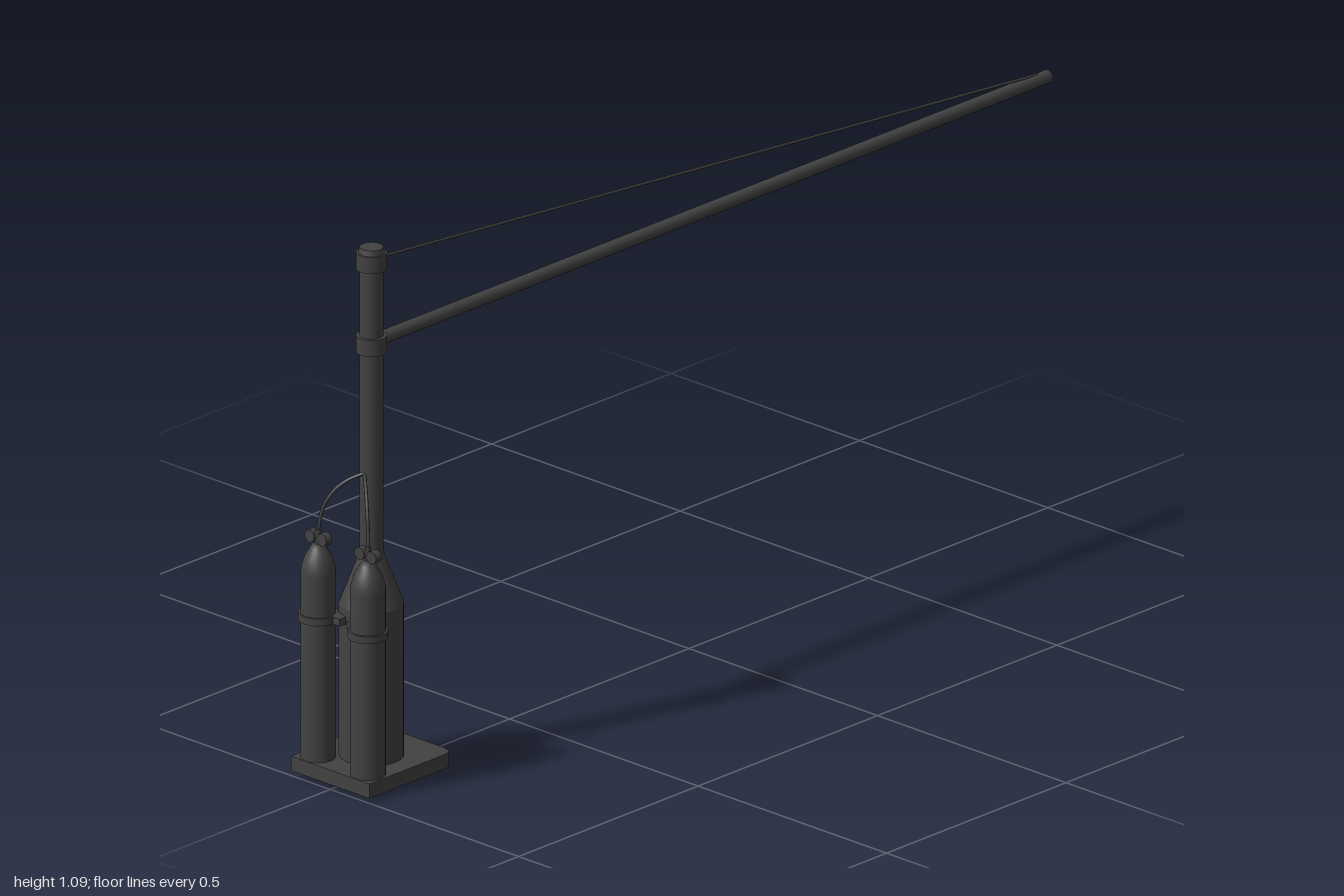
import * as THREE from 'three';

const material = new THREE.MeshStandardMaterial({ color: 0x424242 });
const MAST_Z = 0.885, BOTTLE_X = 0.066, BOTTLE_Z = 0.964;

function add(parent, name, geometry, x = 0, y = 0, z = 0) {
  const mesh = new THREE.Mesh(geometry, material);
  mesh.name = name;
  mesh.position.set(x, y, z);
  parent.add(mesh);
  return mesh;
}

// Lathe with sharp profile corners; points run from bottom to top
const lathe = (points, sides = 24) =>
  new THREE.LatheGeometry(points.map(([r, y]) => new THREE.Vector2(r, y)), sides);

const cylinder = (r, h, sides = 24) => new THREE.CylinderGeometry(r, r, h, sides);

function createBase() {
  const group = new THREE.Group();
  group.name = 'base';
  // Plate: square front corners, rounded rear corners (shape y becomes -z)
  const w = 0.104, front = -1, back = -0.765, c = 0.028;
  const s = new THREE.Shape();
  s.moveTo(-w, front);
  s.lineTo(w, front);
  s.lineTo(w, back - c);
  s.quadraticCurveTo(w, back, w - c, back);
  s.lineTo(-w + c, back);
  s.quadraticCurveTo(-w, back, -w, back - c);
  s.closePath();
  const plate = new THREE.ExtrudeGeometry(s, { depth: 0.03, bevelEnabled: false, curveSegments: 5 });
  plate.rotateX(-Math.PI / 2);
  add(group, 'basePlate', plate, 0, 0.01, 0);
  for (const x of [-0.08, 0.08])
    for (const z of [0.968, 0.82])
      add(group, 'foot', new THREE.BoxGeometry(0.01, 0.012, 0.028), x, 0.006, z);
  return group;
}

function createMast() {
  const group = new THREE.Group();
  group.name = 'mast';
  group.position.z = MAST_Z;
  add(group, 'mastHousing', cylinder(0.063, 0.32), 0, 0.195, 0);
  add(group, 'mastShoulder', new THREE.CylinderGeometry(0.023, 0.063, 0.105, 24), 0, 0.4075, 0);
  add(group, 'mastTube', cylinder(0.023, 0.64), 0, 0.76, 0);
  add(group, 'boomCollar', cylinder(0.03, 0.034), 0, 0.891, 0);
  add(group, 'topCollar', cylinder(0.03, 0.034), 0, 1.063, 0);
  add(group, 'topCap', new THREE.CylinderGeometry(0.023, 0.026, 0.012, 24), 0, 1.085, 0);
  return group;
}

// Straight rod between two points
function rod(parent, name, a, b, r, sides) {
  const mesh = add(parent, name, cylinder(r, a.distanceTo(b), sides));
  mesh.position.copy(a).lerp(b, 0.5);
  mesh.quaternion.setFromUnitVectors(new THREE.Vector3(0, 1, 0), b.clone().sub(a).normalize());
}

function createBottle(side) {
  const group = new THREE.Group();
  group.name = side > 0 ? 'leftBottle' : 'rightBottle';
  group.position.set(side * BOTTLE_X, 0, BOTTLE_Z);
  add(group, 'bottleBody', lathe([[0.0345, 0.04], [0.0345, 0.42], [0.033, 0.435],
    [0.027, 0.455], [0.016, 0.474], [0.012, 0.48], [0, 0.482]]));
  add(group, 'valveStem', cylinder(0.006, 0.035, 12), 0, 0.494, 0);

  // Pair of round valve knobs on a crossbar
  add(group, 'valveBar', cylinder(0.004, 0.034, 8), 0, 0.494, 0).rotation.z = Math.PI / 2;
  for (const k of [-1, 1])
    add(group, 'valveKnob', cylinder(0.013, 0.016, 12), k * 0.016, 0.494, 0).rotation.x = Math.PI / 2;

  // Clamp band and its bracket to the mast housing
  add(group, 'clampBand', cylinder(0.039, 0.015), 0, 0.332, 0);
  add(group, 'clampBracket', new THREE.BoxGeometry(0.03, 0.015, 0.024), -side * 0.042, 0.332, -0.012);

  // Hose arching back to the mast
  const path = new THREE.CatmullRomCurve3([
    [0, 0.505, 0], [-0.001, 0.525, -0.002], [-0.009, 0.562, -0.008],
    [-0.025, 0.594, -0.022], [-0.045, 0.615, -0.04], [-0.067, 0.628, -0.06],
  ].map(([x, y, z]) => new THREE.Vector3(side * x, y, z)));
  add(group, 'hose', new THREE.TubeGeometry(path, 24, 0.0035, 8));
  return group;
}

export function createModel() {
  const model = new THREE.Group();
  model.name = 'boomStand';
  model.add(createBase(), createMast(), createBottle(1), createBottle(-1));
  // Long horizontal boom and its stay cable
  const v = (y, z) => new THREE.Vector3(0, y, z);
  rod(model, 'boom', v(0.894, MAST_Z), v(0.894, -1), 0.0135, 16);
  rod(model, 'stayCable', v(1.063, MAST_Z - 0.025), v(0.906, -0.97), 0.003, 8);
  return model;
}
